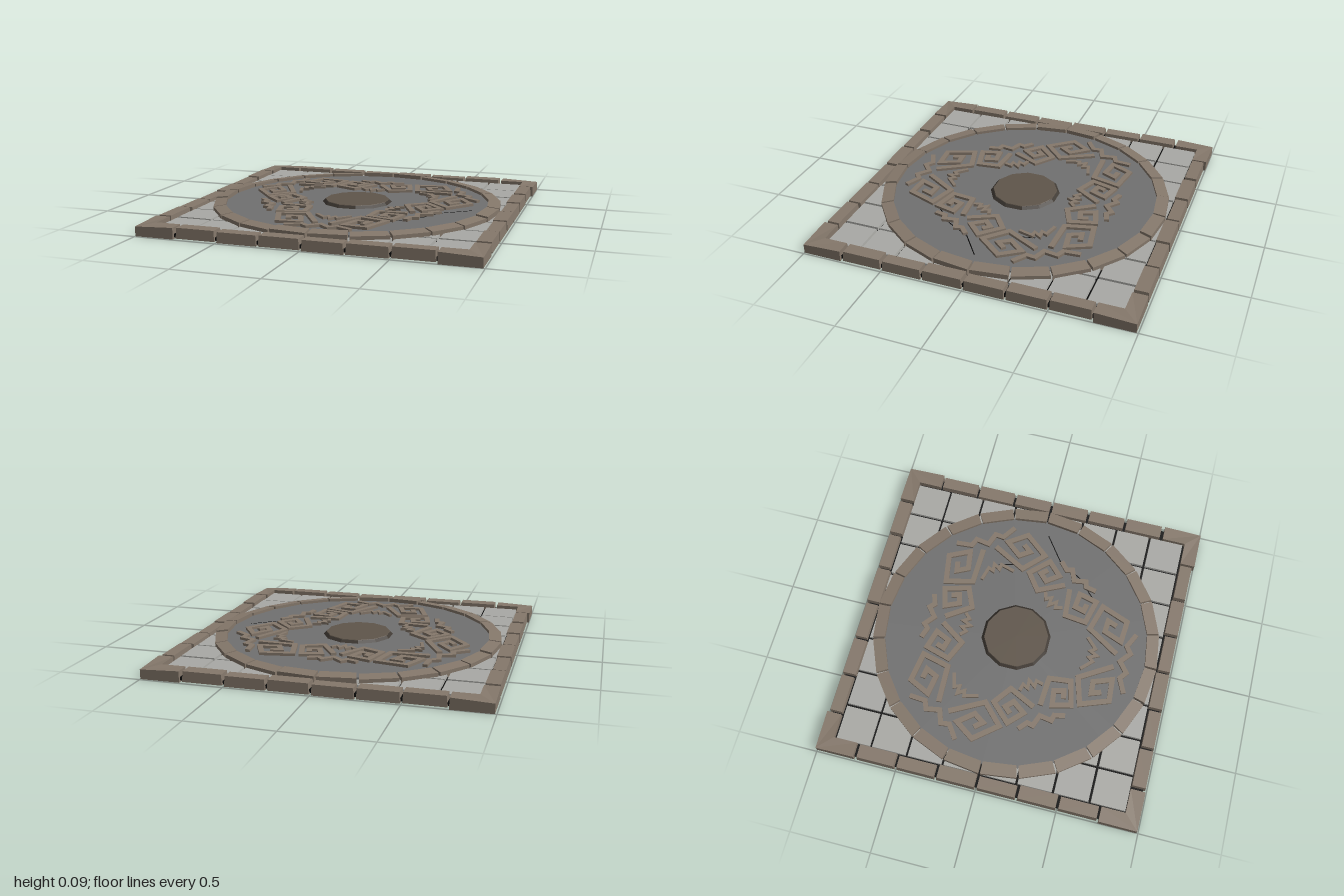
import * as THREE from 'three';

const mat = (color) => new THREE.MeshStandardMaterial({ color, flatShading: true });

export function createModel() {
  const root = new THREE.Group();
  root.name = 'stoneFloorPlate';
  const stone = mat(0x85786b), tileMat = mat(0xa9a9a5), black = mat(0x0b0b0b);
  const slate = mat(0x707070), core = mat(0x5f554a), rim = mat(0x3f3933);

  const add = (parent, geo, material, name, x = 0, y = 0, z = 0) => {
    const m = new THREE.Mesh(geo, material);
    m.name = name;
    m.position.set(x, y, z);
    parent.add(m);
    return m;
  };
  const group = (name, parent = root) => {
    const g = new THREE.Group();
    g.name = name;
    parent.add(g);
    return g;
  };
  // Move every vertex of a geometry by a rule
  const warp = (geo, rule) => {
    const p = geo.attributes.position, v = new THREE.Vector3();
    for (let i = 0; i < p.count; i++) {
      rule(v.fromBufferAttribute(p, i));
      p.setXYZ(i, v.x, v.y, v.z);
    }
    geo.computeVertexNormals();
    return geo;
  };
  // Block standing on y = 0 with its top drawn in a little
  const block = (w, h, d, inset) => warp(new THREE.BoxGeometry(w, h, d), (v) => {
    if (v.y > 0) {
      v.x -= Math.sign(v.x) * inset;
      v.z -= Math.sign(v.z) * inset;
    }
    v.y += h / 2;
  });
  const extrudeUp = (shape, depth) =>
    new THREE.ExtrudeGeometry(shape, { depth, bevelEnabled: false }).rotateX(-Math.PI / 2);

  // Dark bed seen in all the joints
  add(root, new THREE.BoxGeometry(1.95, 0.02, 1.95), black, 'bed', 0, 0.02, 0);

  // Square border: six stones and one mitred corner on each side
  const border = group('border');
  const W = 0.09, E = 0.99, L = 0.235;
  const corner = new THREE.Shape([
    [E, E], [E - L, E], [E - L, E - W], [E - W, E - W], [E - W, E - L], [E, E - L],
  ].map(([x, y]) => new THREE.Vector2(x, y)));
  for (let s = 0; s < 4; s++) {
    const side = group('borderSide', border);
    side.rotation.y = s * Math.PI / 2;
    for (let i = 0; i < 6; i++) {
      const lift = [0.007, 0.002, 0.004, 0, 0.003, 0.007][i];
      const wide = W - (i % 2) * 0.008;
      add(side, block(0.238, 0.062, wide, 0.004), stone, 'borderStone',
        -0.625 + i * 0.25, lift, E - W / 2 + (i % 2) * 0.003);
    }
    const geo = warp(extrudeUp(corner, 0.067), (v) => {
      if (v.y > 0.03 && v.x > E - 0.01 && v.z < -E + 0.01) v.y -= 0.01;
      v.x *= 1 / E;
    });
    add(side, geo, stone, 'cornerStone');
  }

  // Paving tiles in the four corners
  const tiles = group('tiles');
  const cuts = [0.905, 0.68, 0.455, 0.23, 0];
  for (const sx of [-1, 1]) for (const sz of [-1, 1])
    for (let i = 0; i < 4; i++) for (let j = 0; j < 4; j++) {
      if (Math.hypot(cuts[i], cuts[j]) < 0.84) continue;
      const w = cuts[i] - cuts[i + 1] - 0.012, d = cuts[j] - cuts[j + 1] - 0.012;
      add(tiles, block(w, 0.022 + ((i + 2 * j) % 3) * 0.001, d, 0.002), tileMat, 'tile',
        sx * (cuts[i] + cuts[i + 1]) / 2, 0.025, sz * (cuts[j] + cuts[j + 1]) / 2);
    }

  // Round slate floor
  add(root, new THREE.CylinderGeometry(0.835, 0.835, 0.035, 48), slate, 'roundFloor', 0, 0.0425, 0);

  // Ring of 24 stones, falling outwards, with a raised pair on each axis
  const ring = group('ring');
  for (let i = 0; i < 24; i++) {
    const raised = i % 6 === 0 || i % 6 === 5;
    const geo = warp(new THREE.BoxGeometry(1, 1, 1), (v) => {
      const r = v.z > 0 ? 0.9 : 0.825;
      const a = v.x * (Math.PI / 12 - 0.014);
      const top = (v.z > 0 ? 0.07 : 0.078) + (raised ? 0.007 : 0);
      v.set(Math.sin(a) * r, v.y > 0 ? top : raised ? 0.014 : 0.006, Math.cos(a) * r);
    });
    add(ring, geo, stone, 'ringStone').rotation.y = (i + 0.5) * Math.PI / 12;
  }

  // Central boss with a dark chamfered rim
  const boss = group('boss');
  boss.rotation.y = Math.PI / 12;
  add(boss, new THREE.CylinderGeometry(0.203, 0.222, 0.02, 12), rim, 'bossRim', 0, 0.066, 0);
  add(boss, new THREE.CylinderGeometry(0.2, 0.203, 0.004, 12), core, 'bossTop', 0, 0.077, 0);

  // Flat bar of even width following a polyline, with mitred corners
  const ribbon = (pts, half) => {
    const p = pts.map(([x, y]) => new THREE.Vector2(x, y).multiplyScalar(0.00535));
    const left = [], right = [];
    p.forEach((q, i) => {
      const a = q.clone().sub(p[Math.max(i - 1, 0)]).normalize();
      const b = p[Math.min(i + 1, p.length - 1)].clone().sub(q).normalize();
      if (i === 0) a.copy(b);
      if (i === p.length - 1) b.copy(a);
      const n = new THREE.Vector2(-a.y - b.y, a.x + b.x).normalize();
      const k = half / Math.max(0.45, n.dot(new THREE.Vector2(-a.y, a.x)));
      left.push(q.clone().addScaledVector(n, k));
      right.unshift(q.clone().addScaledVector(n, -k));
    });
    return new THREE.Shape([...left, ...right]);
  };
  const mirrored = (pts) => [...pts.slice(1).reverse().map(([x, y]) => [-x, y]), ...pts];

  // Two kinds of relief (across, outwards), alternating every 60 degrees
  const reliefs = [
    {
      key: [[4, 88], [23, 60], [46, 70], [38, 98], [17, 92], [24, 76], [35, 79], [32, 88]],
      chevron: [[0, 100], [11, 109], [16, 104], [28, 108]],
      zigzag: [[0, 56], [4, 65], [8, 59], [14, 65]],
    },
    {
      key: [[8, 119], [31, 82], [62, 91], [50, 123], [24, 121], [32, 100], [46, 101], [42, 112]],
      chevron: [[0, 125], [12, 135], [20, 129], [37, 137]],
      zigzag: [[0, 97], [4, 89], [8, 94], [20, 82]],
    },
  ];
  const relief = group('relief');
  for (let i = 0; i < 6; i++) {
    const { key, chevron, zigzag } = reliefs[i % 2];
    const g = group('reliefMotif', relief);
    g.rotation.y = i * Math.PI / 3;
    g.position.y = 0.058;
    add(g, extrudeUp(ribbon(key, 0.016), 0.018), stone, 'squareSpiral');
    add(g, extrudeUp(ribbon(key.map(([x, y]) => [-x, y]), 0.016), 0.018), stone, 'squareSpiral');
    add(g, extrudeUp(ribbon(mirrored(chevron), 0.015), 0.018), stone, 'outerChevron');
    add(g, extrudeUp(ribbon(mirrored(zigzag), 0.01), 0.018), stone, 'innerZigzag');
  }

  // Hairline cracks in the floor
  const cracks = group('cracks');
  for (const line of [
    [[138, -6], [108, -28], [92, -56], [68, -79]],
    [[86, 44], [90, 26], [87, 14]],
  ]) add(cracks, extrudeUp(ribbon(line, 0.003), 0.001), black, 'crack', 0, 0.0598, 0);

  return root;
}
